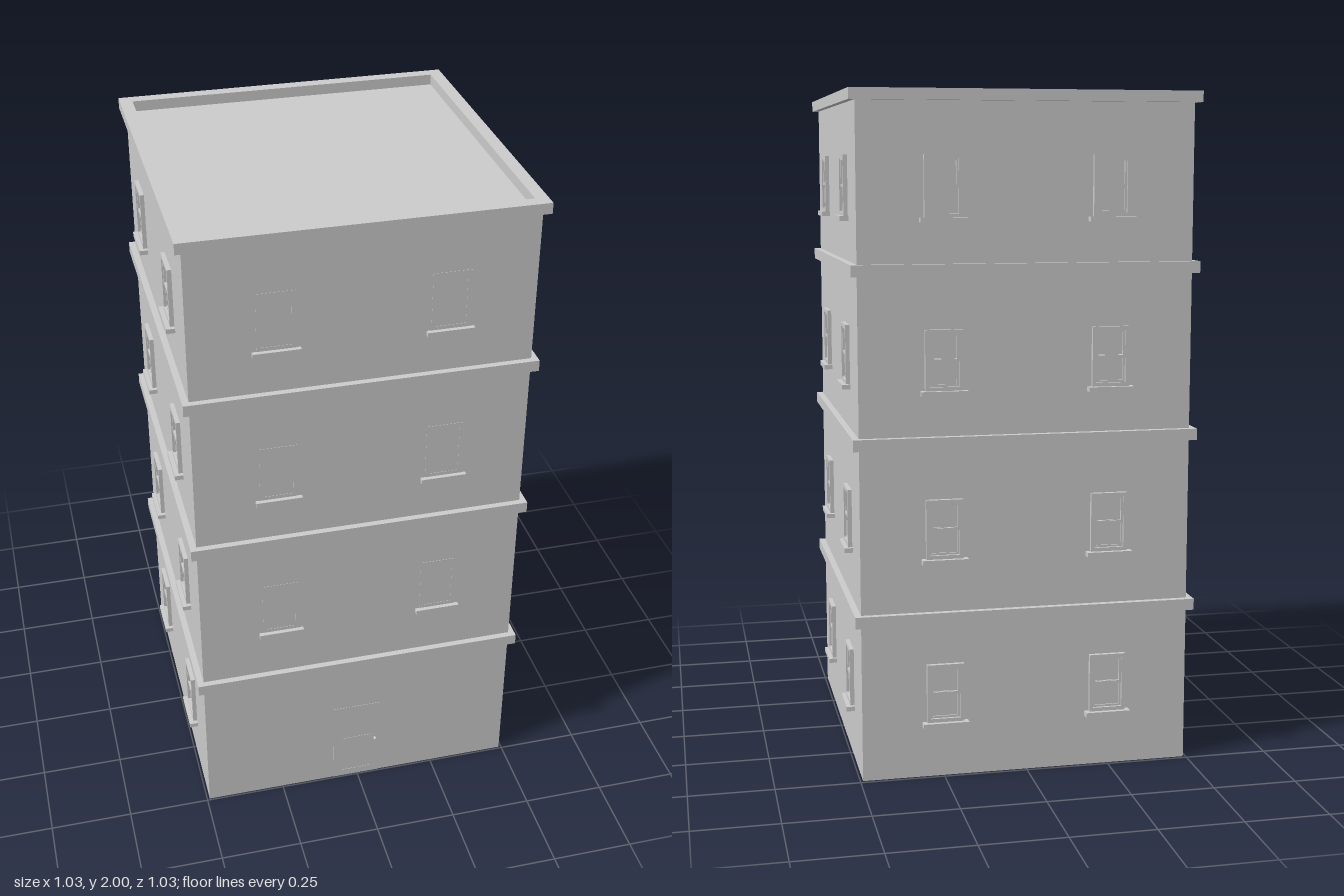
import * as THREE from 'three';

const mat = new THREE.MeshStandardMaterial({ color: 0xcccccc });
const HALF = 0.492;     // half width of the walls
const CZ = 0.0025;      // the walls sit slightly forward of the centre
const ROOF = 1.968;

// box given by its min and max corners
function box(parent, name, x0, x1, y0, y1, z0, z1) {
  const mesh = new THREE.Mesh(new THREE.BoxGeometry(x1 - x0, y1 - y0, z1 - z0), mat);
  mesh.position.set((x0 + x1) / 2, (y0 + y1) / 2, (z0 + z1) / 2);
  mesh.name = name;
  parent.add(mesh);
  return mesh;
}

// rectangular frame standing in the xy plane
function frame(parent, name, w, y0, y1, border, z0, z1) {
  const h = w / 2, b = border;
  const shape = new THREE.Shape([[-h, y0], [h, y0], [h, y1], [-h, y1]].map(p => new THREE.Vector2(...p)));
  shape.holes.push(new THREE.Path([[-h + b, y0 + b], [-h + b, y1 - b], [h - b, y1 - b], [h - b, y0 + b]]
    .map(p => new THREE.Vector2(...p))));
  const geo = new THREE.ExtrudeGeometry(shape, { depth: z1 - z0, bevelEnabled: false });
  const mesh = new THREE.Mesh(geo, mat);
  mesh.position.z = z0;
  mesh.name = name;
  parent.add(mesh);
}

// sash window: the wall surface is z = 0, the sill bottom is y = 0
function makeWindow() {
  const g = new THREE.Group();
  g.name = 'window';
  box(g, 'sill', -0.068, 0.068, 0, 0.014, -0.004, 0.0255);
  frame(g, 'windowFrame', 0.11, 0.014, 0.189, 0.011, -0.004, 0.0125);
  frame(g, 'upperSash', 0.09, 0.097, 0.18, 0.008, -0.002, 0.009);
  frame(g, 'lowerSash', 0.09, 0.023, 0.106, 0.008, -0.003, 0.005);
  box(g, 'glass', -0.045, 0.045, 0.025, 0.178, -0.003, 0.001);
  return g;
}

export function createModel() {
  const model = new THREE.Group();
  model.name = 'apartmentBuilding';

  // walls with a flat roof
  box(model, 'walls', -HALF, HALF, 0, ROOF, CZ - HALF, CZ + HALF);

  // projecting bands between the floors
  const B = 0.511;
  [0.467, 0.985, 1.479].forEach(y =>
    box(model, 'floorBand', -B, B, y, y + 0.034, CZ - B, CZ + B));

  // parapet ring round the roof
  const parapet = new THREE.Group();
  parapet.name = 'parapet';
  frame(parapet, 'parapetRing', 2 * B, -B, B, 0.038, 0, 2 - ROOF);
  parapet.rotation.x = -Math.PI / 2;
  parapet.position.set(0, ROOF, CZ);
  model.add(parapet);

  // two windows per floor on each side; those at the front are set almost flush
  const sillHeights = [0.154, 0.646, 1.138, 1.63];
  const sides = ['front', 'left', 'back', 'right'];
  sides.forEach((side, i) => {
    const wall = new THREE.Group();
    wall.name = side + 'Windows';
    sillHeights.forEach((y, floor) => {
      if (side === 'front' && floor === 0) return;
      for (const x of [-0.246, 0.246]) {
        const win = makeWindow();
        win.position.set(x, y, HALF - (side === 'front' ? 0.0115 : 0));
        wall.add(win);
      }
    });
    wall.rotation.y = i * Math.PI / 2;
    wall.position.z = CZ;
    model.add(wall);
  });

  // door, nearly flush with the front wall
  const door = new THREE.Group();
  door.name = 'door';
  door.position.z = CZ + HALF;
  box(door, 'doorLeaf', -0.079, 0.071, 0, 0.295, -0.004, 0.001);
  for (const y of [0.022, 0.16]) box(door, 'doorPanelRail', -0.052, 0.044, y, y + 0.004, -0.002, 0.002);
  const knob = new THREE.Mesh(new THREE.SphereGeometry(0.005, 12, 8), mat);
  knob.name = 'doorKnob';
  knob.position.set(0.057, 0.149, 0.01);
  door.add(knob);
  const stem = new THREE.Mesh(new THREE.CylinderGeometry(0.0025, 0.0025, 0.01, 10), mat);
  stem.name = 'knobStem';
  stem.rotation.x = Math.PI / 2;
  stem.position.set(0.057, 0.149, 0.005);
  door.add(stem);
  model.add(door);

  return model;
}
